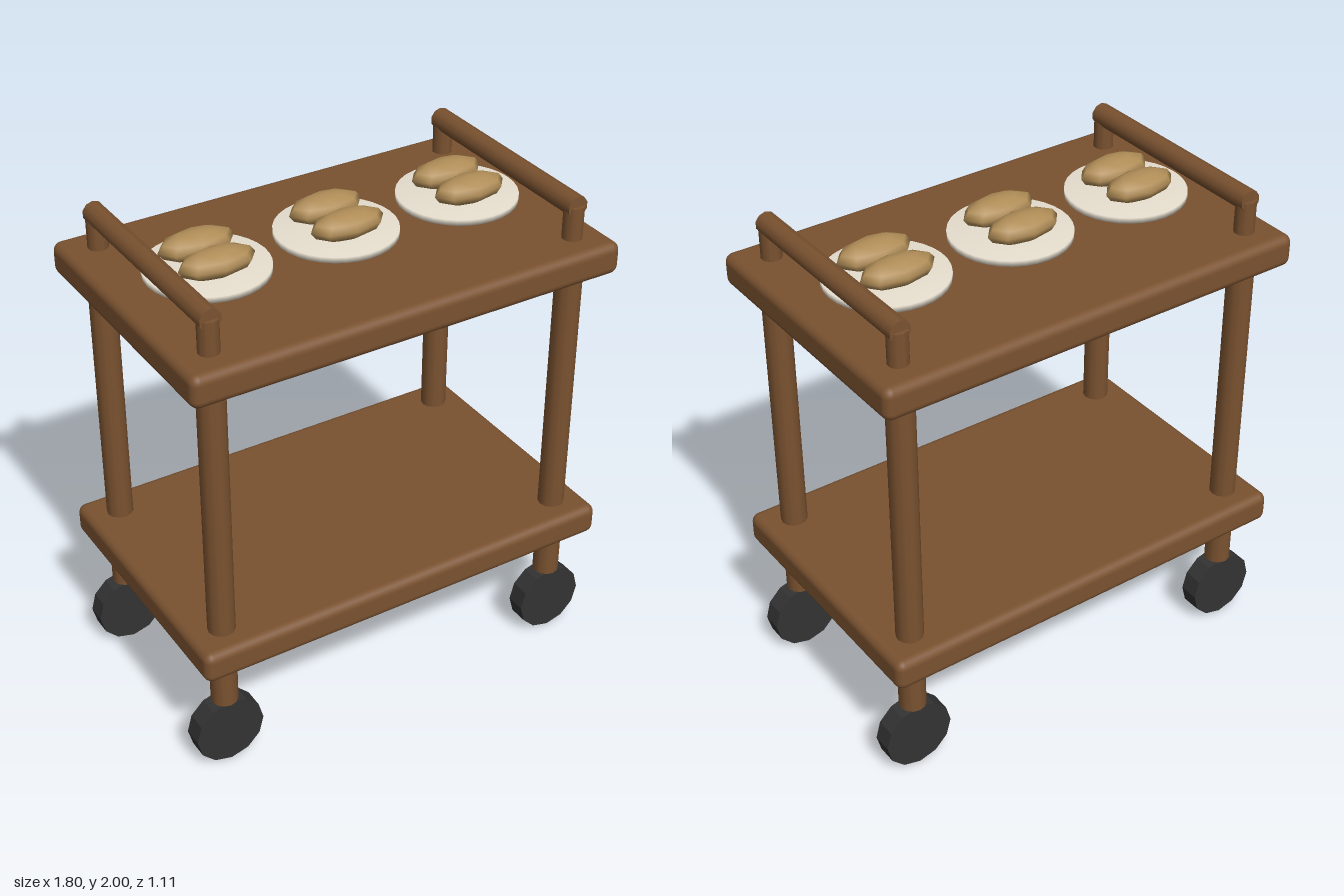
import * as THREE from 'three';
import { RoundedBoxGeometry } from 'three/addons/geometries/RoundedBoxGeometry.js';

function material(name, color, side = THREE.FrontSide) {
  const m = new THREE.MeshStandardMaterial({ color, side });
  m.name = name;
  return m;
}

export function createModel() {
  const cart = new THREE.Group();
  cart.name = 'servingCart';

  const wood = material('wood', 0x7a5230);
  const rubber = material('rubber', 0x333333);
  const china = material('china', 0xe8e0d0);
  const crust = material('crust', 0xb08d57);

  function add(name, geometry, mat, x, y, z, parent = cart) {
    const mesh = new THREE.Mesh(geometry, mat);
    mesh.name = name;
    mesh.position.set(x, y, z);
    parent.add(mesh);
    return mesh;
  }

  const legX = 0.756, legZ = 0.423;

  // Shelves with softened edges
  const shelf = new RoundedBoxGeometry(1.778, 0.13, 1.11, 3, 0.035);
  add('lowerShelf', shelf, wood, 0, 0.56, 0);
  add('topShelf', shelf, wood, 0, 1.76, 0);

  // Legs, wheels and handle posts at each corner
  const leg = new THREE.CylinderGeometry(0.053, 0.053, 1.44, 12);
  const wheel = new THREE.CylinderGeometry(0.143, 0.143, 0.08, 12).toNonIndexed();
  wheel.rotateX(Math.PI / 2);
  wheel.computeVertexNormals();
  const post = new THREE.CylinderGeometry(0.04, 0.04, 0.157, 10);
  for (const sx of [-1, 1]) {
    for (const sz of [-1, 1]) {
      const x = sx * legX, z = sz * legZ;
      add('leg', leg, wood, x, 1.0, z);
      add('wheel', wheel, rubber, x, 0.143, z);
      add('handlePost', post, wood, x, 1.879, z);
    }
  }

  // Push bars across both ends
  const bar = new THREE.CylinderGeometry(0.043, 0.043, 0.89, 10);
  bar.rotateX(Math.PI / 2);
  for (const sx of [-1, 1]) add('handleBar', bar, wood, sx * legX, 1.957, 0);

  // Plates, each with two rolls
  const plate = new THREE.LatheGeometry([
    new THREE.Vector2(0, 0),
    new THREE.Vector2(0.14, 0),
    new THREE.Vector2(0.233, 0.04),
    new THREE.Vector2(0.233, 0.063),
    new THREE.Vector2(0, 0.063),
  ], 32);
  const roll = new THREE.SphereGeometry(1, 8, 6);
  roll.scale(0.153, 0.053, 0.077);
  for (const x of [-0.533, 0, 0.533]) {
    const serving = new THREE.Group();
    serving.name = 'serving';
    serving.position.set(x, 1.825, 0);
    cart.add(serving);
    add('plate', plate, china, 0, 0, 0, serving);
    for (const sz of [-1, 1]) add('breadRoll', roll, crust, 0, 0.11, sz * 0.077, serving);
  }

  return cart;
}
